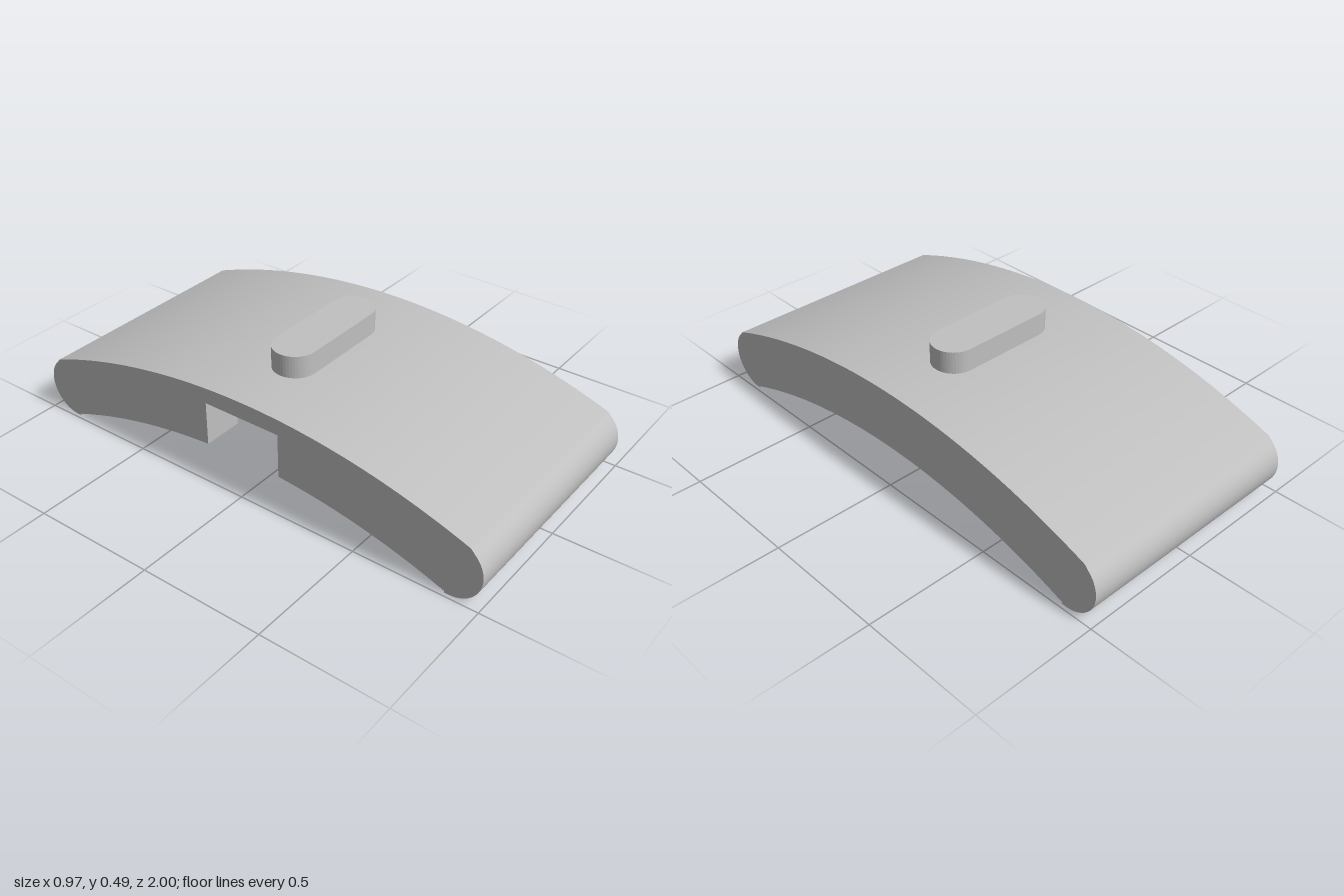
import * as THREE from 'three';
import { toCreasedNormals } from 'three/addons/utils/BufferGeometryUtils.js';

const W = 0.485;                          // half width along x
const ARC_Y = -2.294, R_IN = 2.457, R_OUT = 2.697;   // concentric arcs of the curved plate
const POCKET_R = 0.36, SLOT = 0.165, CEILING = 0.335;
const END_Z = 0.86;                       // where the underside meets the rounded ends

const under = z => ARC_Y + Math.sqrt(R_IN * R_IN - z * z);
const over = z => ARC_Y + Math.sqrt(R_OUT * R_OUT - z * z);
const pocketX = z => Math.sqrt(Math.max(0, POCKET_R * POCKET_R - z * z));

// Collects four-cornered faces, corners counter-clockwise from outside
function faceBuilder() {
  const pos = [];
  return {
    quad(a, b, c, d) { pos.push(...a, ...b, ...c, ...a, ...c, ...d); },
    build() {
      const g = new THREE.BufferGeometry();
      g.setAttribute('position', new THREE.Float32BufferAttribute(pos, 3));
      return toCreasedNormals(g, 0.2);
    },
  };
}

// Outer outline as [z, y]: front end, top arc, back end
function outerProfile() {
  const end = [[END_Z, under(END_Z)]];
  for (let i = 0; i <= 18; i++) {
    const a = THREE.MathUtils.degToRad(-97 + (153 * i) / 18);
    end.push([0.875 + 0.125 * Math.cos(a), 0.125 + 0.125 * Math.sin(a)]);
  }
  const top = [];
  for (let i = 0; i <= 40; i++) {
    const z = 0.946 * (1 - i / 20);
    top.push([z, over(z)]);
  }
  const back = end.map(([z, y]) => [-z, y]).reverse();
  return [...end.slice(0, -1), ...top, ...back.slice(1)];
}

// z stations across the underside, matching the pocket facets and slot walls
function undersideStations() {
  const z = [-SLOT, SLOT];
  for (let k = -6; k <= 6; k++) z.push(POCKET_R * Math.sin((k * Math.PI) / 12));
  for (let k = 1; k <= 8; k++) {
    const out = POCKET_R + ((END_Z - POCKET_R) * k) / 8;
    z.push(out, -out);
  }
  return z.sort((a, b) => a - b);
}

export function createModel() {
  const group = new THREE.Group();
  const grey = new THREE.MeshStandardMaterial({ color: 0xc0c0c0 });
  grey.name = 'grey';
  const add = (name, geometry) => {
    const mesh = new THREE.Mesh(geometry, grey);
    mesh.name = name;
    group.add(mesh);
    return mesh;
  };

  const outer = outerProfile();
  const stations = undersideStations();

  // Curved top and rounded ends
  const shell = faceBuilder();
  for (let i = 0; i < outer.length - 1; i++) {
    const [pz, py] = outer[i], [qz, qy] = outer[i + 1];
    shell.quad([-W, py, pz], [W, py, pz], [W, qy, qz], [-W, qy, qz]);
  }
  add('topAndEnds', shell.build());

  // Underside around the keyhole pocket, with the pocket walls and ceiling
  const bottom = faceBuilder(), walls = faceBuilder(), ceiling = faceBuilder();
  const strip = (target, a, b, xa0, xa1, xb0, xb1, y) => target.quad(
    [xa0, y(a), a], [xa1, y(a), a], [xb1, y(b), b], [xb0, y(b), b]);
  for (let i = 0; i < stations.length - 1; i++) {
    const a = stations[i], b = stations[i + 1], mid = Math.abs(a + b) / 2;
    if (mid > POCKET_R) {
      strip(bottom, a, b, -W, W, -W, W, under);
      continue;
    }
    const xa = pocketX(a), xb = pocketX(b), open = mid < SLOT;
    strip(bottom, a, b, xa, W, xb, W, under);
    strip(ceiling, a, b, open ? -W : -xa, xa, open ? -W : -xb, xb, () => CEILING);
    walls.quad([xa, under(a), a], [xb, under(b), b], [xb, CEILING, b], [xa, CEILING, a]);
    if (!open) {
      strip(bottom, a, b, -W, -xa, -W, -xb, under);
      walls.quad([-xb, under(b), b], [-xa, under(a), a], [-xa, CEILING, a], [-xb, CEILING, b]);
    }
  }
  // Straight walls of the slot leading out through the right side
  const sx = -pocketX(SLOT), sy = under(SLOT);
  walls.quad([sx, sy, SLOT], [-W, sy, SLOT], [-W, CEILING, SLOT], [sx, CEILING, SLOT]);
  walls.quad([-W, sy, -SLOT], [sx, sy, -SLOT], [sx, CEILING, -SLOT], [-W, CEILING, -SLOT]);
  add('underside', bottom.build());
  add('pocketWalls', walls.build());
  add('pocketCeiling', ceiling.build());

  // Flat side faces; the right one is notched by the slot
  const sideFace = (name, side, notched) => {
    const lower = [];
    for (const z of stations.slice(1, -1)) {
      if (!notched || Math.abs(z) > SLOT) lower.push([z, under(z)]);
      else if (z === -SLOT) lower.push([z, sy], [z, CEILING]);
      else if (z === SLOT) lower.push([z, CEILING], [z, sy]);
    }
    const shape = new THREE.Shape([...outer, ...lower].map(([z, y]) => new THREE.Vector2(-side * z, y)));
    const mesh = add(name, new THREE.ShapeGeometry(shape).rotateY((side * Math.PI) / 2));
    mesh.position.x = side * W;
  };
  sideFace('leftSide', 1, false);
  sideFace('rightSide', -1, true);

  // Raised key with round ends on the top
  const r = 0.088, h = 0.175, base = 0.385;
  const key = new THREE.Shape();
  key.absarc(h, 0, r, -Math.PI / 2, Math.PI / 2, false);
  key.absarc(-h, 0, r, Math.PI / 2, (3 * Math.PI) / 2, false);
  const keyGeometry = new THREE.ExtrudeGeometry(key, { depth: 0.492 - base, bevelEnabled: false, curveSegments: 12 });
  add('topKey', keyGeometry.rotateX(-Math.PI / 2)).position.y = base;

  return group;
}
